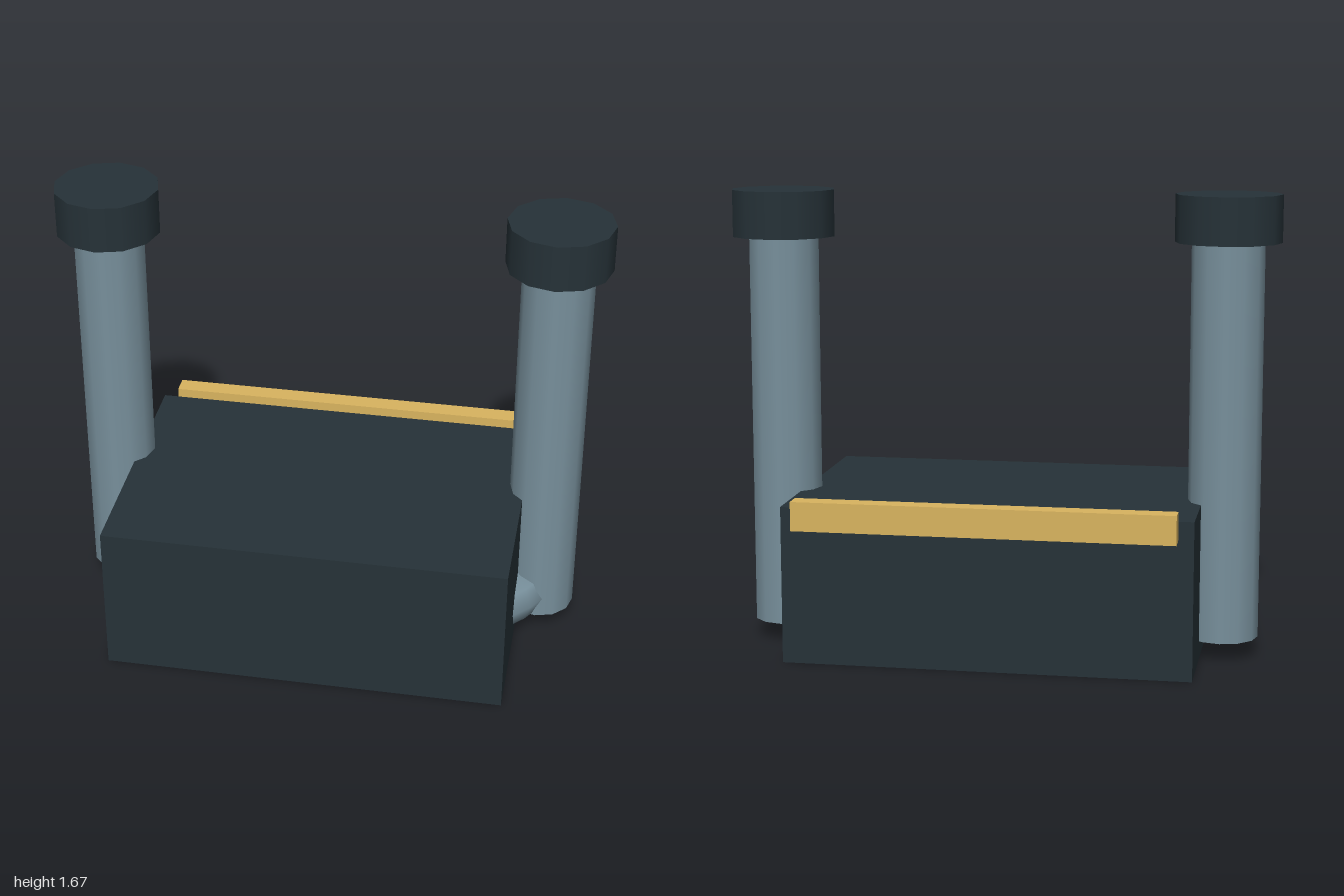
import * as THREE from 'three';

const dark = new THREE.MeshStandardMaterial({ color: 0x263238 });
const steel = new THREE.MeshStandardMaterial({ color: 0x78909c });
const steelOpen = new THREE.MeshStandardMaterial({ color: 0x78909c, side: THREE.DoubleSide });
const gold = new THREE.MeshStandardMaterial({ color: 0xd9b45f });

function part(parent, name, geometry, material, x, y, z) {
  const mesh = new THREE.Mesh(geometry, material);
  mesh.name = name;
  mesh.position.set(x, y, z);
  parent.add(mesh);
  return mesh;
}

export function createModel() {
  const model = new THREE.Group();
  model.name = 'boxWithPipes';

  // Main body and the strip along its upper rear edge
  part(model, 'body', new THREE.BoxGeometry(1.47, 0.57, 0.975), dark, 0, 0.285, 0.0325);
  part(model, 'rearStrip', new THREE.BoxGeometry(1.36, 0.105, 0.07), gold, 0, 0.5525, -0.49);

  // Upright pipe, cap and bent connector on each side
  for (const side of [1, -1]) {
    const stack = new THREE.Group();
    stack.name = side > 0 ? 'leftStack' : 'rightStack';
    model.add(stack);

    part(stack, 'pipe', new THREE.CylinderGeometry(0.13, 0.13, 1.43, 12), steel, side * 0.81, 0.785, -0.073);
    part(stack, 'cap', new THREE.CylinderGeometry(0.19, 0.19, 0.17, 12), dark, side * 0.81, 1.585, -0.073);

    const path = new THREE.CatmullRomCurve3([
      new THREE.Vector3(side * 0.8, 0.145, -0.1),
      new THREE.Vector3(side * 0.735, 0.145, 0.03),
      new THREE.Vector3(side * 0.6, 0.145, 0.17),
    ]);
    part(stack, 'elbow', new THREE.TubeGeometry(path, 4, 0.097, 8), steelOpen, 0, 0, 0);
  }
  return model;
}
